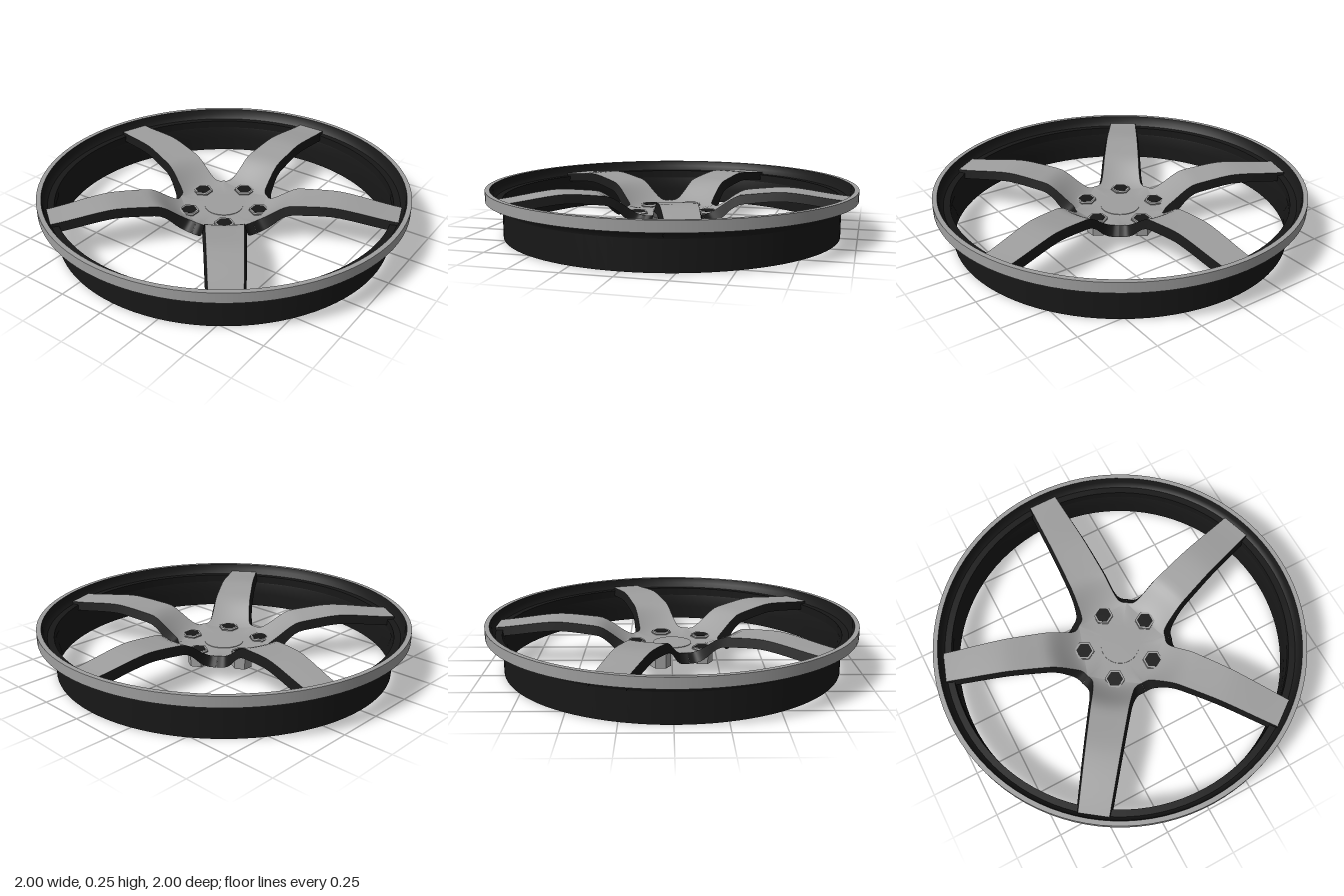
import * as THREE from 'three';
import { mergeGeometries } from 'three/addons/utils/BufferGeometryUtils.js';

// Sheet-like parts show from both sides
const paint = (name, color) => {
  const m = new THREE.MeshStandardMaterial({ color, side: THREE.DoubleSide });
  m.name = name;
  return m;
};

const smooth = (a, b, x) => THREE.MathUtils.smoothstep(x, a, b);
// Dished, arched height of the wheel face by radius
const faceY = r => 0.103 + 0.115 * smooth(0.2, 0.42, r) + 0.03 * smooth(0.3, 0.65, r) - 0.035 * smooth(0.6, 1, r);
const FLANK_DEPTH = 0.047;

// Surface through rows of [x, y, z] points
function grid(rows) {
  const n = rows[0].length, index = [];
  for (let i = 0; i < rows.length - 1; i++) {
    for (let j = 0; j < n - 1; j++) {
      const a = i * n + j, c = a + n;
      index.push(a, a + 1, c, a + 1, c + 1, c);
    }
  }
  const g = new THREE.BufferGeometry();
  g.setAttribute('position', new THREE.Float32BufferAttribute(rows.flat(2), 3));
  g.setIndex(index);
  g.computeVertexNormals();
  return g;
}

const lathe = profile => new THREE.LatheGeometry(profile.map(p => new THREE.Vector2(...p)), 96);

// One fifth of the face: a hub wedge running out into a spoke along +x
function spokeGeometries() {
  const curve = pts => new THREE.SplineCurve(pts.map(p => new THREE.Vector2(...p))).getPoints(42);
  const edge = curve([[0.205, 0.149], [0.222, 0.125], [0.245, 0.113], [0.29, 0.106],
    [0.36, 0.101], [0.55, 0.094], [0.75, 0.087], [0.95, 0.08]]);
  const foot = curve([[0.239, 0.173], [0.257, 0.147], [0.279, 0.131], [0.315, 0.121],
    [0.37, 0.115], [0.55, 0.107], [0.75, 0.099], [0.95, 0.091]]);
  const wedge = [0, 0.05, 0.1, 0.15].map(u => new THREE.Vector2(u, u * Math.tan(Math.PI / 5)));

  // Face sheet
  const face = grid([...wedge, ...edge].map(p => {
    const row = [];
    for (let j = -6; j <= 6; j++) {
      const v = p.y * j / 6;
      row.push([p.x, faceY(Math.hypot(p.x, v)), v]);
    }
    return row;
  }));

  // Flared flanks hanging from both edges, open behind
  const flanks = [1, -1].map(s => grid(edge.map((p, i) => {
    const y = faceY(p.length());
    const pair = [[p.x, y, s * p.y], [foot[i].x, y - FLANK_DEPTH, s * foot[i].y]];
    return s > 0 ? pair : pair.reverse();
  })));
  return { face, flank: mergeGeometries(flanks) };
}

export function createModel() {
  const metal = paint('brushed grey', 0x9f9f9f);
  const black = paint('satin black', 0x181818);
  const wheel = new THREE.Group();
  wheel.name = 'wheelRim';
  const add = (parent, name, geometry, material, y = 0) => {
    const m = new THREE.Mesh(geometry, material);
    m.name = name;
    m.position.y = y;
    parent.add(m);
  };

  // Rim
  add(wheel, 'lipEdge', lathe([[1, 0.2], [1, 0.255]]), metal);
  add(wheel, 'lipTop', lathe([[1, 0.255], [0.975, 0.255]]), metal);
  add(wheel, 'barrelOuter', lathe([[0.912, 0], [0.912, 0.2]]), black);
  add(wheel, 'lipUnderside', lathe([[0.912, 0.2], [1, 0.2]]), black);
  add(wheel, 'barrelInner', lathe([[0.975, 0.255], [0.968, 0.225], [0.952, 0.203], [0.925, 0.185],
    [0.91, 0.15], [0.907, 0.08], [0.906, 0]]), black);
  add(wheel, 'barrelBottom', lathe([[0.906, 0], [0.912, 0]]), black);

  // Spokes with their share of the hub, and lug nuts
  const { face, flank } = spokeGeometries();
  const nutSide = new THREE.CylinderGeometry(0.055, 0.055, 0.078, 6, 1, true).toNonIndexed();
  nutSide.computeVertexNormals();
  const nutRing = new THREE.RingGeometry(0.043, 0.055, 6, 1, Math.PI / 2).rotateX(-Math.PI / 2);
  const nutEnd = new THREE.CircleGeometry(0.055, 6, Math.PI / 2).rotateX(Math.PI / 2);
  const socket = new THREE.CylinderGeometry(0.044, 0.044, 0.003, 6);
  const stud = new THREE.CylinderGeometry(0.024, 0.024, 0.004, 6);
  for (let i = 0; i < 5; i++) {
    const angle = Math.PI / 2 + i * Math.PI * 2 / 5;
    const spoke = new THREE.Group();
    spoke.name = 'spoke' + (i + 1);
    spoke.rotation.y = angle;
    add(spoke, 'spokeFace', face, metal);
    add(spoke, 'spokeFlanks', flank, black);
    wheel.add(spoke);

    const nut = new THREE.Group();
    nut.name = 'lugNut' + (i + 1);
    nut.position.set(0.2 * Math.cos(angle), 0, -0.2 * Math.sin(angle));
    add(nut, 'nutSide', nutSide, metal, 0.071);
    add(nut, 'nutRing', nutRing, metal, 0.117);
    add(nut, 'nutEnd', nutEnd, metal, 0.032);
    add(nut, 'nutSocket', socket, black, 0.116);
    add(nut, 'studHole', stud, black, 0.031);
    wheel.add(nut);
  }

  // Centre cap, showing on both sides of the hub
  add(wheel, 'centreCap', new THREE.CylinderGeometry(0.105, 0.105, 0.014, 48), metal, 0.099);
  return wheel;
}
